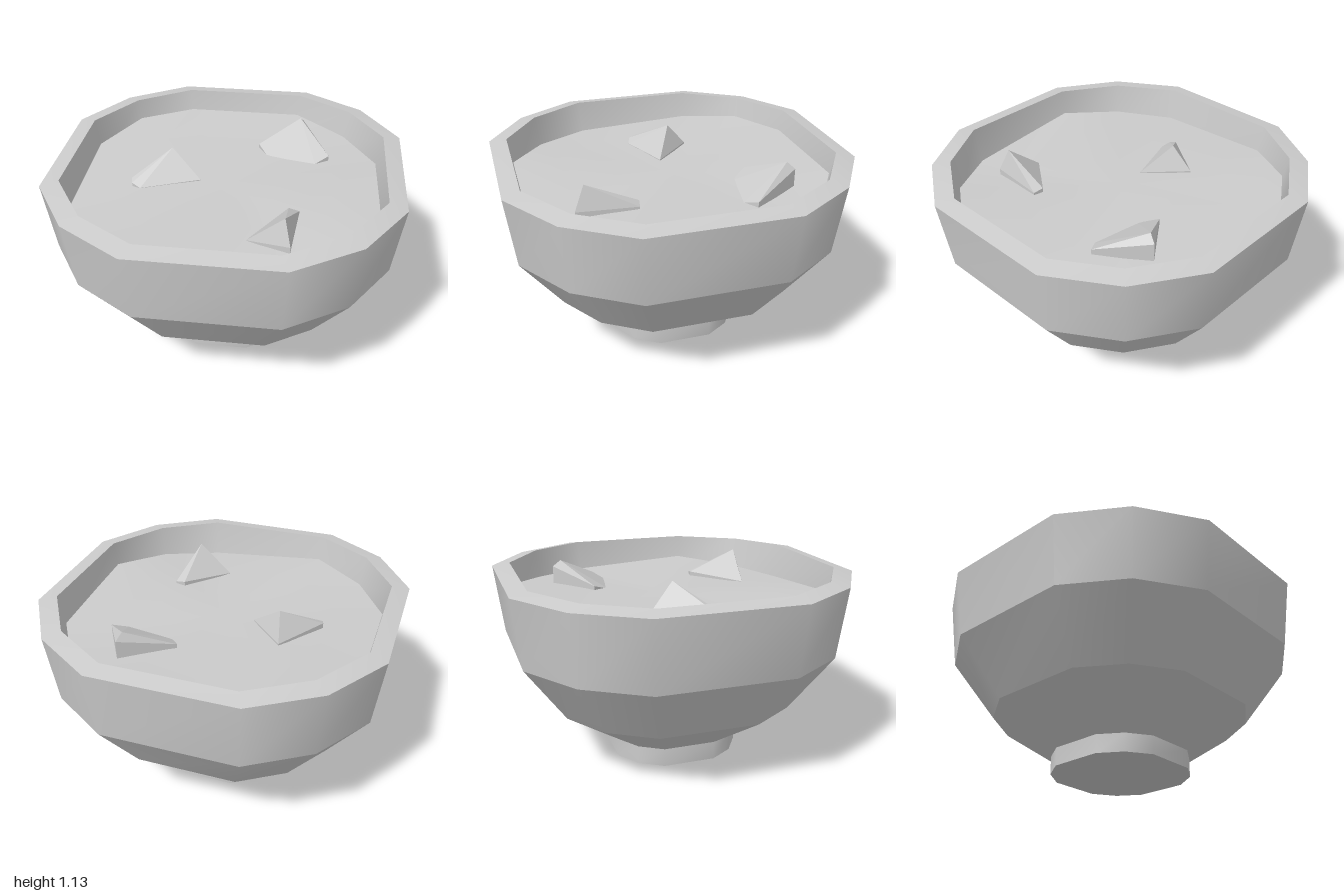
import * as THREE from 'three';
import { mergeVertices } from 'three/addons/utils/BufferGeometryUtils.js';
import { ConvexGeometry } from 'three/addons/geometries/ConvexGeometry.js';

const material = () => new THREE.MeshStandardMaterial({ color: 0xcccccc });

// Twelve-sided outline, rounded square; starts near +x and turns towards +z.
const outline = [];
for (const [sx, sz, flip] of [[1, 1, false], [-1, 1, true], [-1, -1, false], [1, -1, true]]) {
  const quarter = [[1, 0.41], [0.77, 0.77], [0.41, 1]];
  if (flip) quarter.reverse();
  for (const [x, z] of quarter) outline.push([x * sx, z * sz]);
}
const SIDES = outline.length;

// Skin between rings [scale, y], where y is a number or a height per corner; smooth inside one loft.
function loft(rings) {
  const positions = [], index = [];
  rings.forEach(([s, y], r) => {
    outline.forEach(([x, z], i) => {
      positions.push(x * s, Array.isArray(y) ? y[i] : y, z * s);
      if (r === 0) return;
      const j = (i + 1) % SIDES, a = (r - 1) * SIDES, b = r * SIDES;
      index.push(a + i, b + i, a + j, a + j, b + i, b + j);
    });
  });
  const flat = new THREE.BufferGeometry();
  flat.setAttribute('position', new THREE.Float32BufferAttribute(positions, 3));
  flat.setIndex(index);
  const geometry = mergeVertices(flat);
  geometry.computeVertexNormals();
  return geometry;
}

function addMesh(parent, name, geometry) {
  const mesh = new THREE.Mesh(geometry, material());
  mesh.name = name;
  parent.add(mesh);
}

export function createModel() {
  const model = new THREE.Group();
  model.name = 'bowlOfSoup';

  // Bowl: each band is smooth around and sharp at its edges
  const bowl = new THREE.Group();
  bowl.name = 'bowl';
  const profile = [
    ['footBase', 0, 0], ['footWall', 0.38, 0], ['lowerBand', 0.38, 0.11],
    ['middleBand', 0.71, 0.35], ['upperBand', 0.95, 0.7], ['rim', 1, 1.11],
    ['innerWall', 0.9, 1.13], ['end', 0.86, 0.88],
  ];
  for (let i = 0; i < profile.length - 1; i++) {
    const [name, s0, y0] = profile[i], [, s1, y1] = profile[i + 1];
    addMesh(bowl, name, loft([[s0, y0], [s1, y1]]));
  }
  model.add(bowl);

  // Soup: gently wavy surface
  const edge = [0.99, 0.95, 0.92, 0.98, 0.95, 0.94, 0.97, 1.01, 1.0, 1.0, 0.96, 0.95];
  const ripple = (amount) => edge.map((y) => 0.965 + (y - 0.965) * amount);
  addMesh(model, 'soupSurface', loft([
    [0.875, edge], [0.6, ripple(0.5)], [0.3, ripple(0.15)], [0, 0.965],
  ]));

  // Chunks: angular wedges poking out of the soup
  const chunks = {
    leftChunk: [
      [0.39, 1.12, -0.585], [0.41, 1.08, -0.63], [0.14, 1.0, -0.43], [0.21, 0.96, -0.33],
      [0.5, 0.96, -0.29], [0.58, 0.99, -0.345],
    ],
    rightChunk: [
      [-0.35, 1.12, -0.1], [-0.38, 0.98, -0.22], [-0.17, 0.97, 0], [-0.57, 0.99, 0.06],
      [-0.56, 0.98, 0.1], [-0.51, 0.96, 0.12],
    ],
    frontChunk: [
      [0.365, 1.12, 0.57], [0.4, 0.98, 0.63], [0.16, 0.95, 0.55], [0.37, 0.99, 0.27],
      [0.43, 0.98, 0.28],
    ],
  };
  for (const [name, points] of Object.entries(chunks)) {
    const top = points.map((p) => new THREE.Vector3(...p));
    const sunk = top.slice(1).map((p) => new THREE.Vector3(p.x, 0.88, p.z));
    addMesh(model, name, new ConvexGeometry([...top, ...sunk]));
  }
  return model;
}
